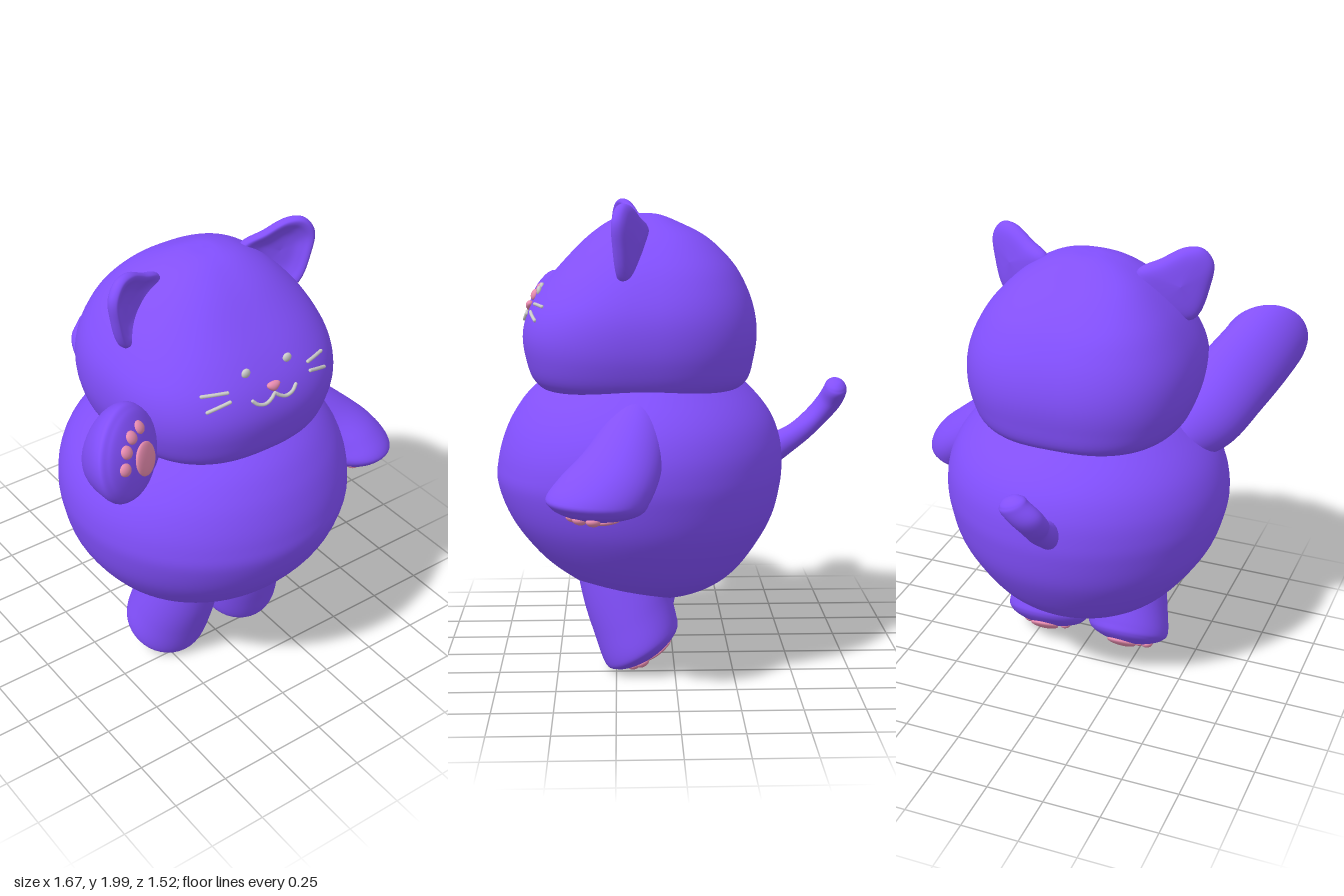
import * as THREE from 'three';

const purple = new THREE.MeshStandardMaterial({ color: 0x8350ff });
const pink = new THREE.MeshStandardMaterial({ color: 0xe88cb0 });
const grey = new THREE.MeshStandardMaterial({ color: 0xcccccc });
const V = (x, y, z) => new THREE.Vector3(x, y, z);

function add(parent, name, geometry, material) {
  const mesh = new THREE.Mesh(geometry, material);
  mesh.name = name;
  parent.add(mesh);
  return mesh;
}

// Smooth skin over closed rings; point(t, u) gives a position, t along, u around
function skin(rings, segs, point) {
  const pos = [], index = [];
  for (let i = 0; i <= rings; i++) {
    for (let j = 0; j < segs; j++) pos.push(...point(i / rings, j / segs).toArray());
  }
  for (let i = 0; i < rings; i++) {
    for (let j = 0; j < segs; j++) {
      const a = i * segs + j, c = i * segs + (j + 1) % segs;
      index.push(a, a + segs, c, c, a + segs, c + segs);
    }
  }
  const g = new THREE.BufferGeometry();
  g.setAttribute('position', new THREE.Float32BufferAttribute(pos, 3));
  g.setIndex(index);
  g.computeVertexNormals();
  return g;
}

const spline = (pts) => new THREE.CatmullRomCurve3(pts, false, 'catmullrom', 0.5);

// Upright rounded volume from keys [y, half width, front z, back z]
function blob(keys, n) {
  const size = spline(keys.map(([y, rx, zf, zb]) => V(rx, y, (zf - zb) / 2)));
  const mid = spline(keys.map(([, , zf, zb]) => V((zf + zb) / 2, 0, 0)));
  const pow = (v) => Math.sign(v) * Math.abs(v) ** (2 / n);
  return skin(72, 80, (t, u) => {
    const s = size.getPoint(t), a = u * Math.PI * 2;
    return V(Math.max(s.x, 0) * pow(Math.cos(a)), s.y,
      mid.getPoint(t).x + Math.max(s.z, 0) * pow(Math.sin(a)));
  });
}

// Limb from keys [x, y, z, radius along wide, radius across]. Its rings turn from
// facing n0 to facing n1, and a dome of the given depth closes the last ring.
function limb(keys, wide, n0, n1, dome) {
  n0.normalize();
  n1.normalize();
  const [x, y, z, ra, rb] = keys[keys.length - 1];
  const caps = [[0.45, 0.9], [0.72, 0.7], [0.92, 0.4], [1, 0]].map(([d, r]) =>
    [...V(x, y, z).addScaledVector(n1, d * dome).toArray(), ra * r, rb * r]);
  const all = [...keys, ...caps];
  const path = spline(all.map((k) => V(k[0], k[1], k[2])));
  const radii = spline(all.map((k) => V(k[3], k[4], 0)));
  const last = (keys.length - 1) / (all.length - 1);
  return skin(56, 40, (t, u) => {
    const r = radii.getPoint(t), a = u * Math.PI * 2;
    const n = n0.clone().lerp(n1, Math.min(t / last, 1)).normalize();
    const A = wide.clone().addScaledVector(n, -wide.dot(n)).normalize();
    const B = A.clone().cross(n);
    return path.getPoint(t)
      .addScaledVector(A, Math.max(r.x, 0) * Math.cos(a))
      .addScaledVector(B, Math.max(r.y, 0) * Math.sin(a));
  });
}

// One large pad and four toe pads following the domed sole
function pawPads(name, centre, normal, toward) {
  const group = new THREE.Group();
  group.name = name;
  const Z = normal.clone().normalize();
  const Y = toward.clone().addScaledVector(Z, -toward.dot(Z)).normalize();
  group.quaternion.setFromRotationMatrix(new THREE.Matrix4().makeBasis(Y.clone().cross(Z), Y, Z));
  group.position.copy(centre);
  const pad = (padName, x, y, rx, ry) => {
    const m = add(group, padName, new THREE.SphereGeometry(1, 24, 16), pink);
    m.scale.set(rx, ry, 0.018);
    m.position.set(x, y, -1.3 * (x * x + y * y));
    m.rotation.set(-2.6 * y, 2.6 * x, 0);
  };
  pad('mainPad', 0, -0.035, 0.065, 0.076);
  for (const deg of [-44, -14, 14, 44]) {
    const a = deg * Math.PI / 180;
    pad('toePad', Math.sin(a) * 0.125, Math.cos(a) * 0.125 - 0.035, 0.026, 0.029);
  }
  return group;
}

// Cupped ear: a rounded outline swept from the hollow front over the rim to the back
function ear(side) {
  const pts = [[0.13, -0.12], [0.18, 0.05], [0.08, 0.105], [-0.02, 0.153], [-0.09, 0.148],
    [-0.135, 0.09], [-0.128, 0], [-0.06, -0.16]].map(([x, y]) => V(x * side, y, 0));
  if (side < 0) pts.reverse();
  const outline = new THREE.CatmullRomCurve3(pts, true);
  const section = spline([[0, -0.012], [0.4, -0.006], [0.65, 0.008], [0.82, 0.022], [0.94, 0.022],
    [1, 0.002], [0.92, -0.022], [0.65, -0.038], [0, -0.048]].map(([r, z]) => V(r, z, 0)));
  return skin(40, 48, (t, u) => {
    const s = section.getPoint(t), p = outline.getPoint(u);
    return V(p.x * s.x, p.y * s.x, s.y);
  });
}

export function createModel() {
  const model = new THREE.Group();
  model.name = 'wavingCat';

  add(model, 'body', blob([
    [0.298, 0, 0.08, 0.08], [0.305, 0.14, 0.22, -0.06], [0.335, 0.265, 0.345, -0.16],
    [0.4, 0.38, 0.46, -0.26], [0.5, 0.478, 0.585, -0.345], [0.65, 0.575, 0.7, -0.43],
    [0.8, 0.62, 0.758, -0.467], [0.9, 0.627, 0.755, -0.472], [1.0, 0.61, 0.73, -0.46],
    [1.1, 0.565, 0.685, -0.42], [1.2, 0.485, 0.61, -0.34], [1.3, 0.37, 0.48, -0.22],
    [1.37, 0.2, 0.32, -0.05], [1.38, 0, 0.14, 0.14]], 2), purple);

  const head = add(model, 'head', blob([
    [1.17, 0, 0.14, 0.14], [1.18, 0.2, 0.34, -0.06], [1.2, 0.36, 0.51, -0.23],
    [1.25, 0.44, 0.593, -0.315], [1.35, 0.483, 0.63, -0.345], [1.45, 0.496, 0.64, -0.357],
    [1.55, 0.485, 0.612, -0.345], [1.65, 0.445, 0.55, -0.31], [1.75, 0.38, 0.465, -0.25],
    [1.85, 0.28, 0.365, -0.145], [1.915, 0.175, 0.275, -0.02], [1.945, 0.08, 0.2, 0.06],
    [1.95, 0, 0.13, 0.13]], 2.5), purple);

  // Raised right arm and lowered left arm
  add(model, 'rightArm', limb([
    [-0.36, 1.1, 0.12, 0.1, 0.1], [-0.45, 1.2, 0.22, 0.18, 0.15], [-0.54, 1.315, 0.34, 0.19, 0.16],
    [-0.62, 1.42, 0.46, 0.193, 0.175], [-0.658, 1.477, 0.55, 0.193, 0.187]],
  V(0.85, 0.53, 0), V(-0.41, 0.66, 0.63), V(0.44, 0.22, 0.87), 0.075), purple);
  model.add(pawPads('rightHandPads', V(-0.627, 1.495, 0.615), V(0.44, 0.22, 0.87), V(-0.63, 0.78, 0)));

  add(model, 'leftArm', limb([
    [0.36, 1.2, 0.14, 0.07, 0.07], [0.46, 1.1, 0.17, 0.125, 0.11], [0.56, 1.0, 0.215, 0.16, 0.135],
    [0.637, 0.92, 0.275, 0.192, 0.155], [0.672, 0.855, 0.318, 0.205, 0.168]],
  V(0, 0, 1), V(0.6, -0.75, 0.25), V(0.02, -1, 0.06), 0.082), purple);
  model.add(pawPads('leftHandPads', V(0.674, 0.773, 0.328), V(0.02, -1, 0.06), V(0.45, 0, 0.85)));

  for (const s of [1, -1]) {
    const side = s > 0 ? 'left' : 'right';
    // Legs with soles tilted backwards
    add(model, side + 'Leg', limb([
      [0.165 * s, 0.5, 0.26, 0.15, 0.165], [0.177 * s, 0.37, 0.215, 0.168, 0.185],
      [0.187 * s, 0.25, 0.18, 0.182, 0.185], [0.2 * s, 0.137, 0.145, 0.188, 0.183]],
    V(1, 0, 0), V(0, -1, -0.28), V(0, -0.84, -0.54), 0.082), purple);
    model.add(pawPads(side + 'FootPads', V(0.2 * s, 0.068, 0.101), V(0, -0.84, -0.54),
      V(0.22 * s, -0.54, 0.84)));

    // The ears sit a touch towards the right
    const e = add(model, side + 'Ear', ear(-s), purple);
    e.position.set(0.365 * s - 0.015, 1.845, 0.19);
    e.rotation.y = -0.39 * s;
  }

  add(model, 'tail', limb([
    [-0.05, 0.87, -0.38, 0.06, 0.06], [-0.05, 0.94, -0.47, 0.053, 0.06],
    [-0.055, 1.0, -0.56, 0.048, 0.052], [-0.075, 1.07, -0.64, 0.064, 0.05],
    [-0.06, 1.135, -0.69, 0.07, 0.052], [-0.02, 1.187, -0.708, 0.065, 0.05]],
  V(1, 0, 0), V(0, 0.6, -0.8), V(0.35, 0.9, -0.1), 0.05), purple);

  // Face details are laid on the head's surface
  const ray = new THREE.Raycaster();
  head.updateMatrixWorld();
  const onFace = (x, y) => {
    ray.set(V(x, y, 2), V(0, 0, -1));
    return ray.intersectObject(head)[0].point.add(V(0, 0, 0.004));
  };
  const line = (name, pts) => {
    const path = new THREE.CatmullRomCurve3(pts.map(([x, y]) => onFace(x, y)));
    add(model, name, new THREE.TubeGeometry(path, 24, 0.0075, 8), grey);
    for (const t of [0, 1]) {
      add(model, name + 'End', new THREE.SphereGeometry(0.0075, 8, 6), grey).position.copy(path.getPoint(t));
    }
  };
  const cx = -0.008;
  for (const s of [1, -1]) {
    const eye = add(model, 'eye', new THREE.SphereGeometry(0.02, 20, 14), grey);
    eye.position.copy(onFace(cx + 0.1 * s, 1.63));
    eye.scale.z = 0.6;
    line('upperWhisker', [[cx + 0.195 * s, 1.583], [cx + 0.24 * s, 1.583], [cx + 0.29 * s, 1.58]]);
    line('lowerWhisker', [[cx + 0.195 * s, 1.55], [cx + 0.24 * s, 1.538], [cx + 0.285 * s, 1.523]]);
  }
  line('mouth', [-0.105, -0.085, -0.05, -0.015, 0, 0.015, 0.05, 0.085, 0.105]
    .map((x, i) => [cx + x, [1.533, 1.515, 1.507, 1.522, 1.535, 1.522, 1.507, 1.515, 1.533][i]]));

  // Soft triangular nose
  const noseGeo = new THREE.SphereGeometry(1, 24, 16);
  const p = noseGeo.attributes.position;
  for (let i = 0; i < p.count; i++) p.setX(i, p.getX(i) * (0.75 + 0.4 * p.getY(i)));
  noseGeo.computeVertexNormals();
  const nose = add(model, 'nose', noseGeo, pink);
  nose.position.copy(onFace(cx, 1.56));
  nose.scale.set(0.037, 0.021, 0.018);

  return model;
}
